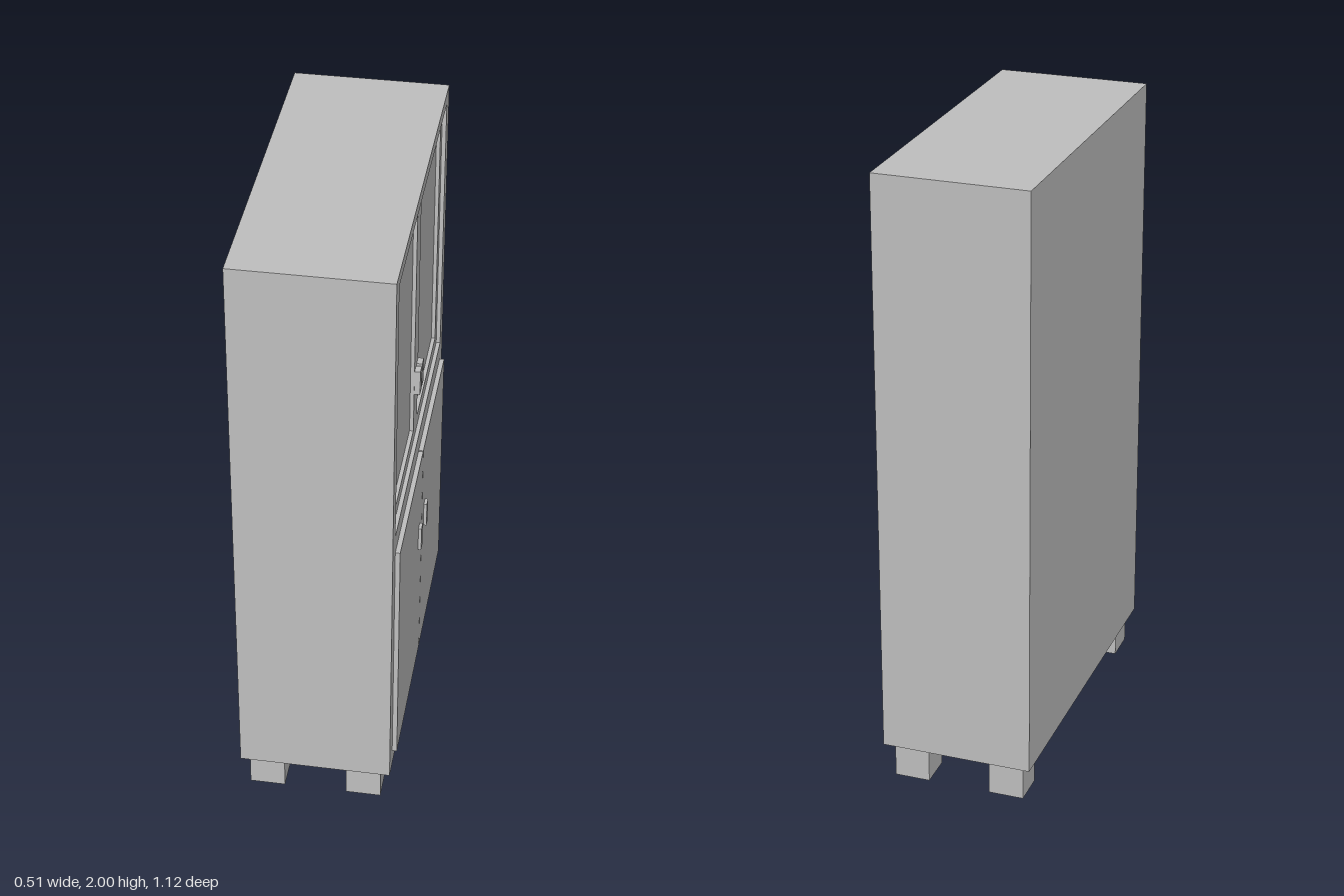
import * as THREE from 'three';

export function createModel() {
  const model = new THREE.Group();
  model.name = 'cabinet';
  const grey = new THREE.MeshStandardMaterial({ color: 0xbfbfbf });
  grey.name = 'plain grey';

  // Box given by its low and high limits on each axis
  function box(name, x0, x1, y0, y1, z0, z1) {
    const mesh = new THREE.Mesh(new THREE.BoxGeometry(x1 - x0, y1 - y0, z1 - z0), grey);
    mesh.name = name;
    mesh.position.set((x0 + x1) / 2, (y0 + y1) / 2, (z0 + z1) / 2);
    model.add(mesh);
  }

  // Board facing +x with rectangular openings; rectangles are [z0, z1, y0, y1]
  function frame(name, x0, x1, outer, holes) {
    const corners = ([z0, z1, y0, y1]) => [[-z1, y0], [-z0, y0], [-z0, y1], [-z1, y1]]
      .map(([u, v]) => new THREE.Vector2(u, v));
    const shape = new THREE.Shape(corners(outer));
    shape.holes = holes.map((h) => new THREE.Path(corners(h).reverse()));
    const geometry = new THREE.ExtrudeGeometry(shape, { depth: x1 - x0, bevelEnabled: false });
    geometry.rotateY(Math.PI / 2).translate(x0, 0, 0);
    const mesh = new THREE.Mesh(geometry, grey);
    mesh.name = name;
    model.add(mesh);
  }

  // Carcass and the face frame around the upper recess
  const front = 0.23, recess = 0.217, pane = 0.205;
  box('carcass', -0.255, pane, 0.115, 2, -0.56, 0.56);
  frame('faceFrame', pane, front, [-0.56, 0.56, 0.115, 2], [[-0.507, 0.507, 1.065, 1.96]]);

  // Recessed upper doors with sunken panels
  frame('upperDoors', pane, recess, [-0.507, 0.507, 1.065, 1.96],
    [[-0.47, -0.04, 1.107, 1.927], [0.04, 0.47, 1.107, 1.927]]);

  for (const s of [1, -1]) {
    const side = s > 0 ? 'Left' : 'Right';
    const mirrored = (name, x0, x1, y0, y1, a, b) =>
      box(name + side, x0, x1, y0, y1, Math.min(s * a, s * b), Math.max(s * a, s * b));
    mirrored('upperHandle', recess, 0.235, 1.247, 1.333, 0.006, 0.038);
    mirrored('lowerDoor', front, 0.245, 0.175, 1, 0.002, 0.507);
    mirrored('lowerHandle', 0.245, 0.255, 0.66, 0.747, 0.048, 0.078);
    mirrored('backLeg', -0.228, -0.115, 0, 0.115, 0.428, 0.54);
    mirrored('frontLeg', 0.085, 0.198, 0, 0.115, 0.428, 0.54);
  }
  return model;
}
